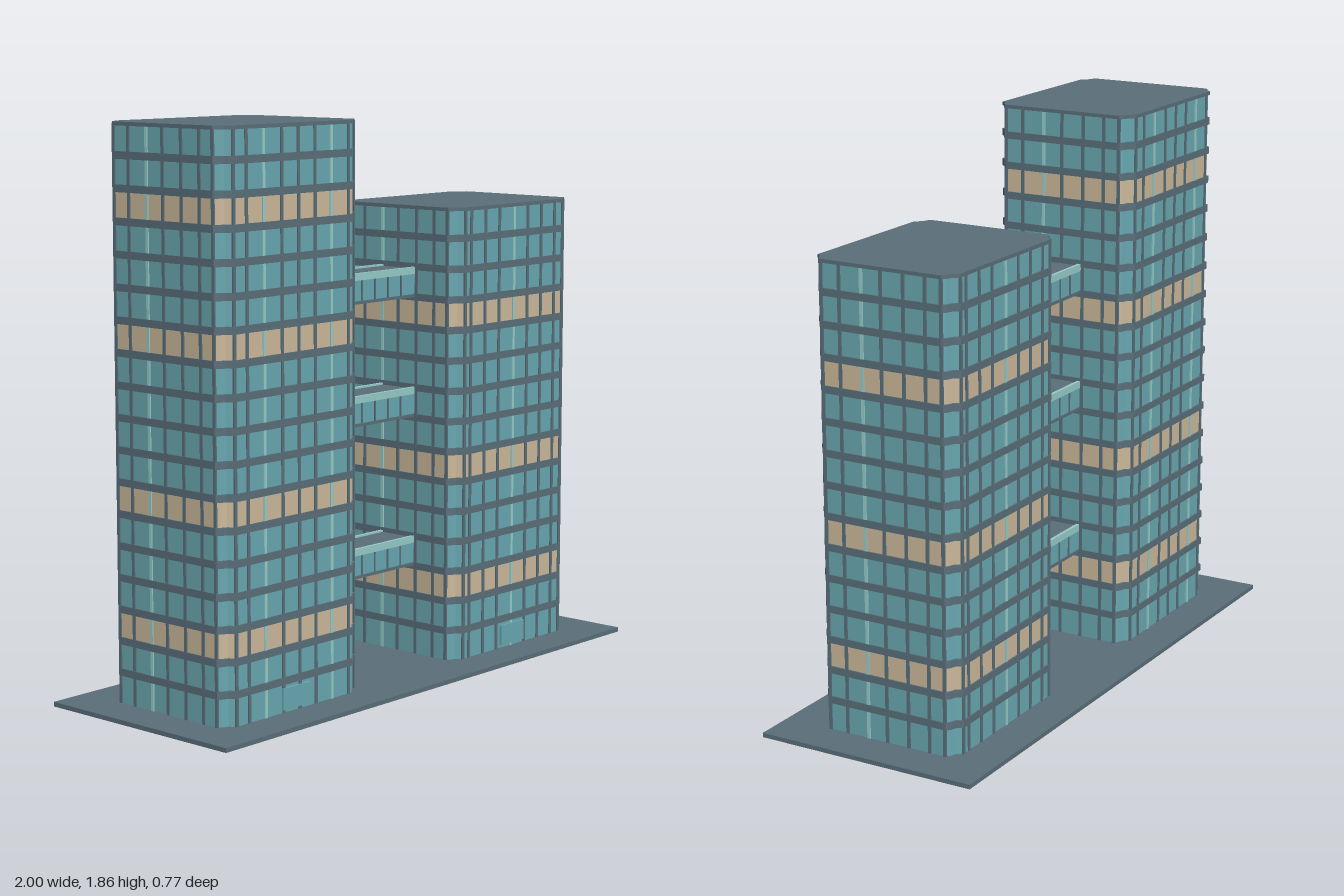
import * as THREE from 'three';

const mat = (name, color) => {
  const m = new THREE.MeshStandardMaterial({ color });
  m.name = name;
  return m;
};

const BASE = 0.015, PITCH = 0.1025, BAND = 0.024;
const HX = 0.318, HZ = 0.255;

// Rectangle whose four corners are cut in two small steps
function footprint(inset) {
  const hx = HX - inset, hz = HZ - inset;
  const corner = [[0, 0.038], [0.012, 0.027], [0.032, 0.02], [0.047, 0]];
  const pts = [];
  for (const [sx, sz] of [[1, 1], [-1, 1], [-1, -1], [1, -1]]) {
    const c = corner.map(([a, b]) => new THREE.Vector2(sx * (hx - a), sz * (hz - b)));
    if (sx * sz < 0) c.reverse();
    pts.push(...c);
  }
  return new THREE.Shape(pts);
}

// Upright prism over the footprint, from y0 to y1
function prism(inset, y0, y1) {
  const g = new THREE.ExtrudeGeometry(footprint(inset), { depth: y1 - y0, bevelEnabled: false });
  return g.rotateX(-Math.PI / 2).translate(0, y0, 0);
}

export function createModel() {
  const slate = mat('slate', 0x5a6f7a);
  const glass = mat('teal glass', 0x69a8b1);
  const warm = mat('lit glass', 0xccb99b);
  const pale = mat('pale trim', 0x95cbc8);

  const model = new THREE.Group();
  model.name = 'twinTowers';

  const add = (parent, name, geometry, material) => {
    const m = new THREE.Mesh(geometry, material);
    m.name = name;
    parent.add(m);
    return m;
  };
  const box = (parent, name, material, w, h, d, x, y, z) =>
    add(parent, name, new THREE.BoxGeometry(w, h, d).translate(x, y, z), material);

  // Ground plate
  box(model, 'plinth', slate, 2, BASE, 0.77, 0, BASE / 2, 0);

  const litFloors = [2, 6, 11, 15];
  const sideMullions = [0.215, 0.15, 0.07, 0, -0.08, -0.157, -0.213];

  function tower(name, x, floors, frontMullions, paleFront) {
    const t = new THREE.Group();
    t.name = name;
    t.position.x = x;
    model.add(t);
    const top = BASE + floors * PITCH;

    // Glazed storeys with a slab band between each pair
    for (let i = 0; i < floors; i++) {
      const y = BASE + i * PITCH;
      add(t, 'storey', prism(0.005, y, y + PITCH - 0.003), litFloors.includes(i) ? warm : glass);
      if (i > 0) add(t, 'floorBand', prism(0, y - BAND / 2, y + BAND / 2), slate);
    }
    add(t, 'roof', prism(0, top - 0.012, top), slate);

    // Vertical mullions, repeated on the opposite faces by a half turn
    const h = top - BASE - 0.004, cy = BASE + h / 2;
    for (const turn of [0, Math.PI]) {
      const f = new THREE.Group();
      f.name = 'mullions';
      f.rotation.y = turn;
      t.add(f);
      frontMullions.forEach((mx, i) => {
        const isPale = paleFront.includes(i);
        box(f, 'frontMullion', isPale ? pale : slate, 0.011, h, 0.006, mx, cy, HZ - 0.004);
      });
      sideMullions.forEach((mz, i) => {
        box(f, 'sideMullion', i === 2 ? pale : slate, 0.006, h, 0.011, HX - 0.004, cy, mz);
      });
    }

    // Entrance panel
    box(t, 'entrance', glass, 0.125, 0.07, 0.009, 0, 0.06, HZ - 0.002);
  }

  tower('tallTower', -0.55, 18,
    [-0.265, -0.21, -0.135, -0.055, 0.02, 0.095, 0.17, 0.25], [2, 6]);
  tower('shortTower', 0.55, 15,
    [-0.265, -0.235, -0.16, -0.085, -0.005, 0.07, 0.145, 0.22, 0.265], [4]);

  // Three glazed sky bridges
  const len = 0.48;
  for (const y of [0.325, 0.838, 1.245]) {
    const b = new THREE.Group();
    b.name = 'skyBridge';
    b.position.y = y;
    model.add(b);
    box(b, 'deck', slate, len, 0.01, 0.15, 0, 0.005, 0);
    box(b, 'bridgeGlass', glass, len, 0.07, 0.142, 0, 0.045, 0);
    box(b, 'bridgeRoof', slate, len, 0.016, 0.142, 0, 0.088, 0);
    for (const s of [-1, 1]) {
      box(b, 'rail', pale, len, 0.024, 0.011, 0, 0.09, s * 0.07);
      for (let i = 1; i < 7; i++) {
        box(b, 'bridgeMullion', slate, 0.006, 0.07, 0.005, -0.23 + i * 0.46 / 7, 0.044, s * 0.072);
      }
    }
  }
  return model;
}
